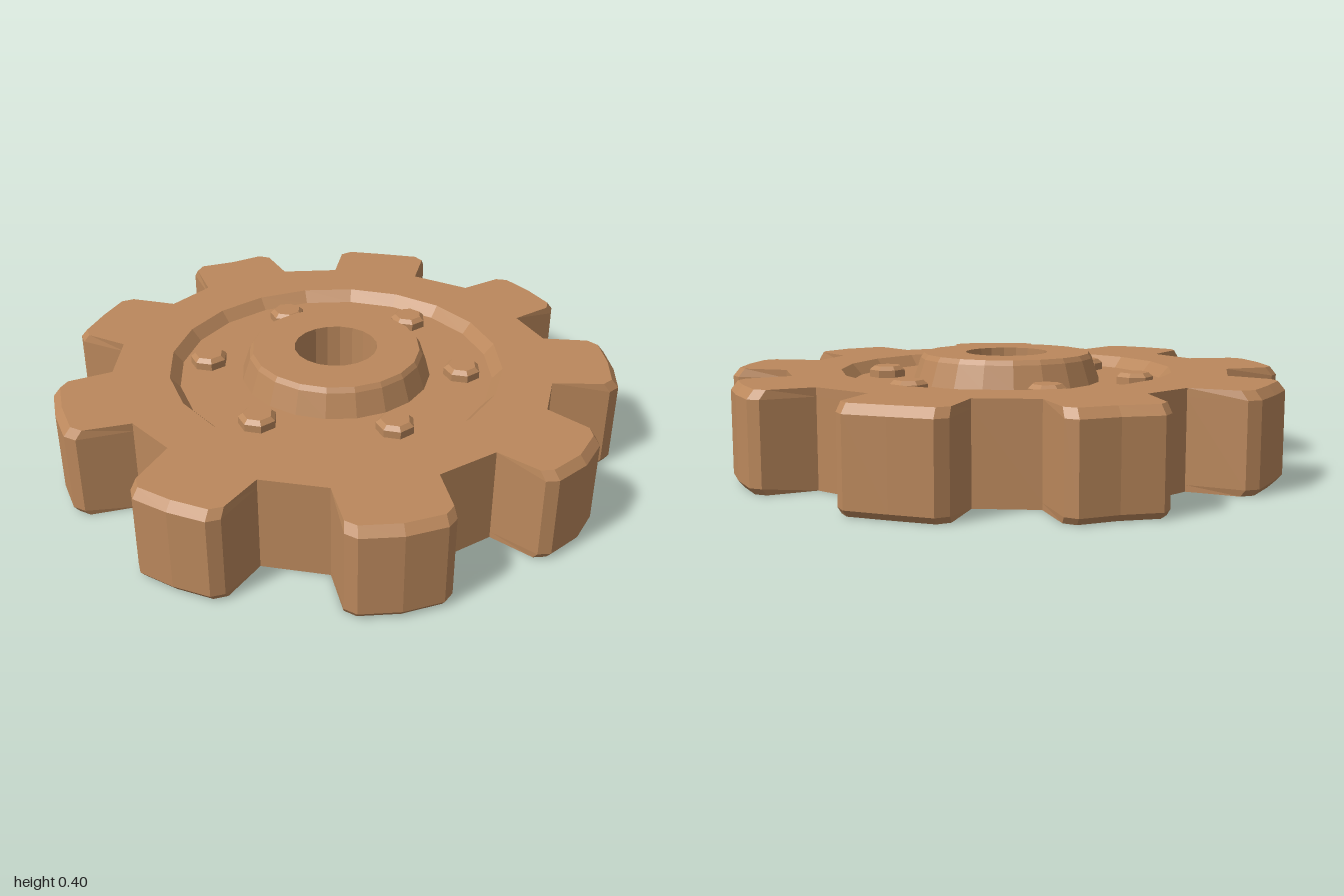
import * as THREE from 'three';

const TOP = 0.335, FLOOR = 0.295, HUB_TOP = 0.395, CZ = -0.008;

// Each tooth in (x, z): root, tip corner, tip corner, root
const TEETH = [
  [[0.79, -0.01], [1.0, 0.05], [0.93, 0.37], [0.70, 0.31]],
  [[0.62, 0.47], [0.75, 0.65], [0.50, 0.85], [0.37, 0.68]],
  [[0.16, 0.76], [0.16, 0.98], [-0.18, 0.98], [-0.18, 0.76]],
  [[-0.39, 0.67], [-0.54, 0.83], [-0.79, 0.63], [-0.64, 0.44]],
  [[-0.74, 0.27], [-0.96, 0.29], [-1.0, -0.05], [-0.79, -0.09]],
  [[-0.74, -0.29], [-0.91, -0.42], [-0.73, -0.70], [-0.53, -0.59]],
  [[-0.38, -0.71], [-0.42, -0.94], [-0.10, -1.01], [-0.05, -0.80]],
  [[0.16, -0.77], [0.24, -0.98], [0.57, -0.84], [0.47, -0.64]],
  [[0.64, -0.49], [0.84, -0.57], [0.95, -0.27], [0.75, -0.19]],
];
const BOLTS = [[-0.10, -0.45], [0.35, -0.31], [0.435, 0.115], [0.11, 0.42], [-0.33, 0.29], [-0.44, -0.16]];

// Gear outline with chamfered tooth corners; tips are pulled in by the given scale
function outline(tipScale) {
  const points = [];
  for (const tooth of TEETH) {
    const [ra, a, b, rb] = tooth.map(([x, z]) => new THREE.Vector2(x, z));
    const tip = [
      a.clone().lerp(ra, 0.15),
      a.clone().lerp(b, 0.1),
      a.clone().add(b).setLength(0.998),
      b.clone().lerp(a, 0.1),
      b.clone().lerp(rb, 0.15),
    ];
    points.push(ra, ...tip.map((p) => p.multiplyScalar(tipScale)), rb);
  }
  return points;
}

function circle(radius, sides = 20) {
  return Array.from({ length: sides }, (_, i) => {
    const t = (i / sides) * Math.PI * 2;
    return new THREE.Vector2(radius * Math.cos(t), radius * Math.sin(t) + CZ);
  });
}

function flatGeometry(positions) {
  const geometry = new THREE.BufferGeometry();
  geometry.setAttribute('position', new THREE.Float32BufferAttribute(positions, 3));
  geometry.computeVertexNormals();
  return geometry;
}

// Faceted skin through a series of [ring, height] sections
function loft(sections) {
  const out = [];
  for (let s = 0; s < sections.length - 1; s++) {
    const [lo, y0] = sections[s], [hi, y1] = sections[s + 1];
    for (let i = 0; i < lo.length; i++) {
      const j = (i + 1) % lo.length;
      const a = [lo[i].x, y0, lo[i].y], b = [lo[j].x, y0, lo[j].y];
      const c = [hi[j].x, y1, hi[j].y], d = [hi[i].x, y1, hi[i].y];
      out.push(...a, ...d, ...c, ...a, ...c, ...b);
    }
  }
  return flatGeometry(out);
}

// Flat face with a hole, looking up or down
function cap(ring, hole, y, up) {
  const points = [...ring, ...hole];
  const out = [];
  for (const f of THREE.ShapeUtils.triangulateShape(ring.slice(), [hole.slice()])) {
    for (const i of up ? [f[0], f[2], f[1]] : f) out.push(points[i].x, y, points[i].y);
  }
  return flatGeometry(out);
}

export function createModel() {
  const group = new THREE.Group();
  group.name = 'gear';
  const clay = new THREE.MeshStandardMaterial({ color: 0xbb885c, flatShading: true });
  clay.name = 'warm brown';
  const add = (name, geometry) => {
    const mesh = new THREE.Mesh(geometry, clay);
    mesh.name = name;
    group.add(mesh);
    return mesh;
  };

  // Toothed wall with bevelled tips
  const full = outline(1), topRing = outline(0.975), bottomRing = outline(0.982);
  add('toothedRim', loft([[bottomRing, 0], [full, 0.022], [full, 0.305], [topRing, TOP]]));
  add('topFace', cap(topRing, circle(0.595), TOP, true));

  // The bore has one side cut flat at its lower end
  const cut = new THREE.Vector2(0.88, 0.475);
  const boreBottom = circle(0.148).map((p) => p.addScaledVector(cut, -Math.max(0, p.dot(cut) - 0.104)));
  add('bottomFace', cap(bottomRing, boreBottom, 0, false));

  // Sunken ring, raised hub and central bore
  add('recess', loft([[circle(0.595), TOP], [circle(0.56), FLOOR], [circle(0.338), FLOOR]]));
  add('hub', loft([[circle(0.338), FLOOR], [circle(0.31), 0.378], [circle(0.298), HUB_TOP], [circle(0.148), HUB_TOP]]));
  add('bore', loft([[circle(0.148), HUB_TOP], [boreBottom, 0]]));

  // Bolt heads with chamfered tops
  const profile = [[0.066, 0], [0.066, 0.028], [0.05, 0.042], [0, 0.042]].map(([r, y]) => new THREE.Vector2(r, y));
  const boltGeometry = new THREE.LatheGeometry(profile, 7);
  BOLTS.forEach(([x, z], i) => {
    const bolt = add('bolt' + (i + 1), boltGeometry);
    bolt.position.set(x, FLOOR - 0.002, z);
    bolt.rotation.y = i * 0.9;
  });
  return group;
}
